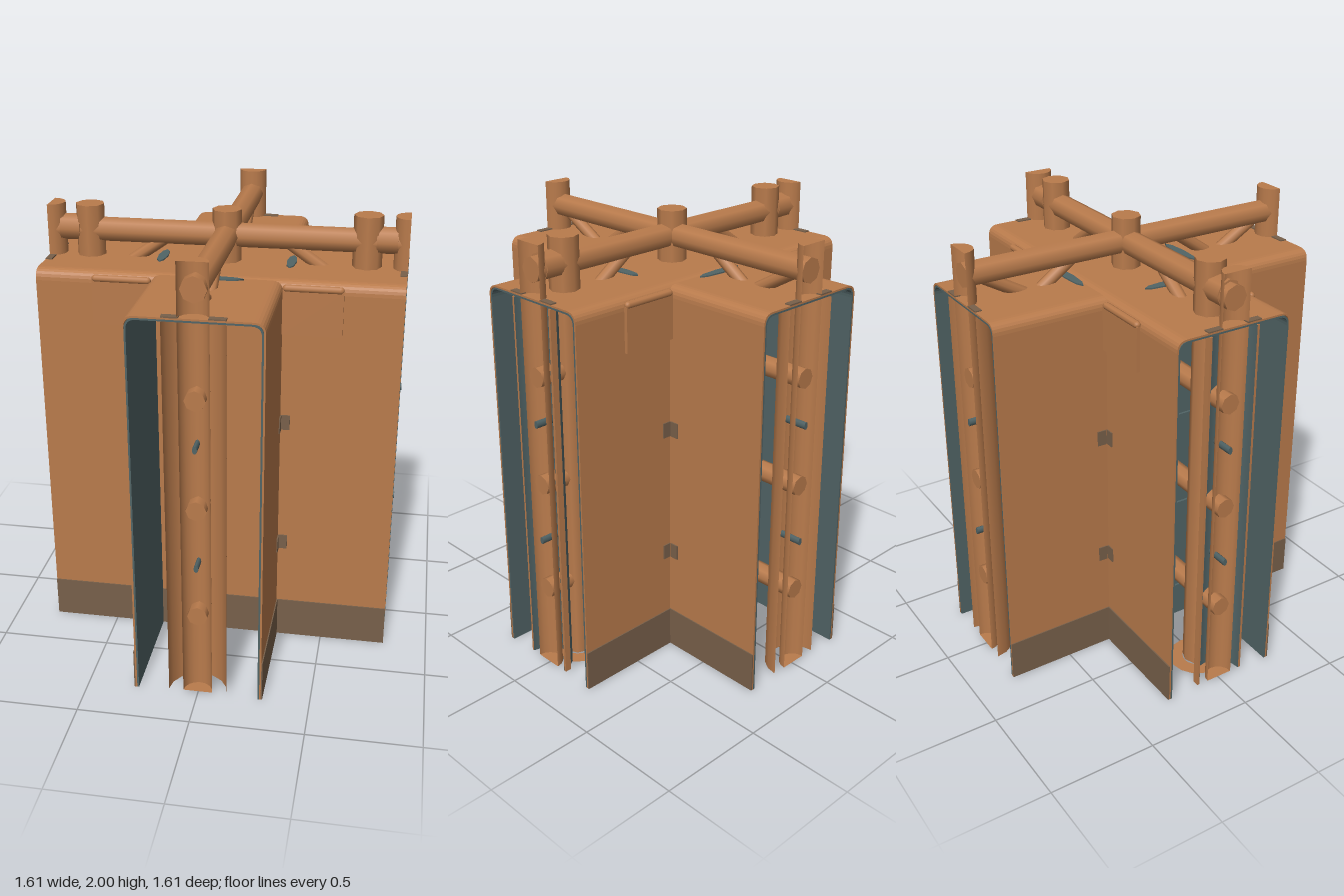
import * as THREE from 'three';

export function createModel() {
  const model = new THREE.Group();
  const mat = (name, color) => {
    const m = new THREE.MeshStandardMaterial({ color, side: THREE.DoubleSide });
    m.name = name;
    return m;
  };
  const hide = mat('tan hide', 0xb97b4c);
  const lining = mat('slate lining', 0x516466);
  const dark = mat('dark hem', 0x78604a);

  const add = (parent, name, geo, material, x = 0, y = 0, z = 0) => {
    const m = new THREE.Mesh(geo, material);
    m.name = name;
    m.position.set(x, y, z);
    parent.add(m);
    return m;
  };
  const box = (parent, name, w, h, d, material, x, y, z) =>
    add(parent, name, new THREE.BoxGeometry(w, h, d), material, x, y, z);

  // Thin arched cover running along z from z0 to z1
  const arch = (w, h, r, t, z0, z1) => {
    const s = new THREE.Shape();
    s.moveTo(-w, 0);
    s.lineTo(-w, h - r);
    s.quadraticCurveTo(-w, h, -w + r, h);
    s.lineTo(w - r, h);
    s.quadraticCurveTo(w, h, w, h - r);
    s.lineTo(w, 0);
    s.lineTo(w - t, 0);
    s.lineTo(w - t, h - r);
    s.quadraticCurveTo(w - t, h - t, w - r, h - t);
    s.lineTo(-w + r, h - t);
    s.quadraticCurveTo(-w + t, h - t, -w + t, h - r);
    s.lineTo(-w + t, 0);
    s.closePath();
    const g = new THREE.ExtrudeGeometry(s, { depth: z1 - z0, bevelEnabled: false, curveSegments: 6 });
    g.translate(0, 0, z0);
    return g;
  };
  const cover = (parent, w, z0, z1) => {
    add(parent, 'hideCover', arch(w, 1.77, 0.05, 0.008, z0, z1), hide);
    add(parent, 'innerLining', arch(w - 0.008, 1.762, 0.05, 0.008, z0, z1), lining);
    for (const s of [-1, 1])
      box(parent, 'darkHem', 0.006, 0.19, z1 - z0, dark, s * (w + 0.002), 0.095, (z0 + z1) / 2);
  };

  // Pole between two points
  const pole = (parent, name, a, b, r, material) => {
    const p = new THREE.Vector3(...a), q = new THREE.Vector3(...b);
    const d = q.clone().sub(p);
    const m = add(parent, name, new THREE.CylinderGeometry(r, r, d.length(), 8), material);
    m.position.copy(p).add(q).multiplyScalar(0.5);
    m.quaternion.setFromUnitVectors(new THREE.Vector3(0, 1, 0), d.normalize());
    return m;
  };
  // Upright half tube, open towards +z
  const halfTube = (r, h, open) =>
    new THREE.CylinderGeometry(r, r, h, 8, 1, open, Math.PI / 2, Math.PI);

  // Long corridor along x
  const cross = new THREE.Group();
  cross.name = 'longCorridor';
  cross.rotation.y = Math.PI / 2;
  model.add(cross);
  cover(cross, 0.278, -0.8, 0.8);

  // Four open ends, each built facing +z and turned into place
  for (let k = 0; k < 4; k++) {
    const arm = new THREE.Group();
    arm.name = 'arm';
    arm.rotation.y = k * Math.PI / 2;
    model.add(arm);
    const side = k % 2 === 1;

    if (!side) cover(arm, 0.285, 0.27, 0.8);

    // Cut end post and its sheath
    add(arm, 'endPost', halfTube(0.065, 1.99, false), hide, 0, 1.005, 0.8);
    add(arm, 'postSheath', halfTube(side ? 0.11 : 0.13, 1.74, true), side ? lining : hide, 0, 0.88, 0.8);
    if (side) {
      box(arm, 'partition', 0.49, 1.74, 0.008, lining, 0, 0.88, 0.3);
      for (const y of [0.18, 0.66, 1.13])
        box(arm, 'partitionLedge', 0.48, 0.015, 0.02, lining, 0, y, 0.305);
      for (const s of [-1, 1])
        box(arm, 'sheathEdge', 0.012, 1.74, 0.03, hide, s * 0.116, 0.88, 0.784);
      // Extra post near the end, with a foot ring and sleeve
      pole(arm, 'innerPost', [0, 0.01, 0.62], [0, 2, 0.62], 0.065, hide);
      const ring = add(arm, 'footRing', new THREE.RingGeometry(0.065, 0.13, 16), hide, 0, 0.005, 0.62);
      ring.rotation.x = Math.PI / 2;
      pole(arm, 'sleeve', [0, 1.89, 0.66], [0, 1.89, 0.75], 0.06, hide);
    }

    // Cross poles and pegs
    for (const y of [0.4, 0.92, 1.42, 1.885])
      pole(arm, 'crossPole', [0, y, 0], [0, y, 0.79], y > 1.8 ? 0.055 : 0.045, hide);
    for (const y of [0.65, 1.21]) {
      const peg = pole(arm, 'peg', [0, y, 0.7], [0, y, 0.805], 0.018, lining);
      peg.scale.x = 0.6;
    }

    // Braces between roof and top pole
    pole(arm, 'brace', [0, 1.87, 0.26], [0, 1.73, 0.46], 0.028, hide);
    if (!side) pole(arm, 'brace', [0, 1.87, 0.72], [0, 1.73, 0.48], 0.028, hide);

    // Roof patches
    const patch = add(arm, 'roofPatch', new THREE.CylinderGeometry(1, 1, 0.006, 8), lining, 0, 1.774, 0.29);
    patch.scale.set(side ? 0.09 : 0.12, 1, 0.022);
    for (const s of [-1, 1])
      box(arm, 'endPatch', 0.07, 0.006, 0.03, dark, s * 0.095, 1.772, 0.785);

    // Small worn spots beside the inner corner
    for (const s of [-1, 1])
      for (const y of [0.51, 1.12]) {
        box(arm, 'wornSpot', 0.04, 0.07, 0.005, dark, s * 0.308, y, side ? 0.287 : 0.281);
        box(arm, 'wornSpot', 0.005, 0.07, 0.035, dark, s * (side ? 0.281 : 0.288), y, 0.305);
      }
  }

  // Overlapping eave flaps on the long corridor
  for (const sx of [-1, 1])
    for (const sz of [-1, 1]) {
      box(model, 'eaveFlap', 0.26, 0.2, 0.016, hide, sx * 0.415, 1.64, sz * 0.288);
      const roll = add(model, 'eaveRoll', new THREE.CapsuleGeometry(0.016, 0.23, 4, 8), hide, sx * 0.415, 1.745, sz * 0.286);
      roll.rotation.z = Math.PI / 2;
    }
  box(model, 'wornSpot', 0.06, 0.05, 0.005, dark, 0.23, 1.5, 0.281);

  // Centre post and its sheath
  pole(model, 'centrePost', [0, 0, 0], [0, 2, 0], 0.065, hide);
  add(model, 'centreSheath', new THREE.CylinderGeometry(0.125, 0.125, 1.74, 16, 1, true), hide, 0, 0.88, 0);

  return model;
}
